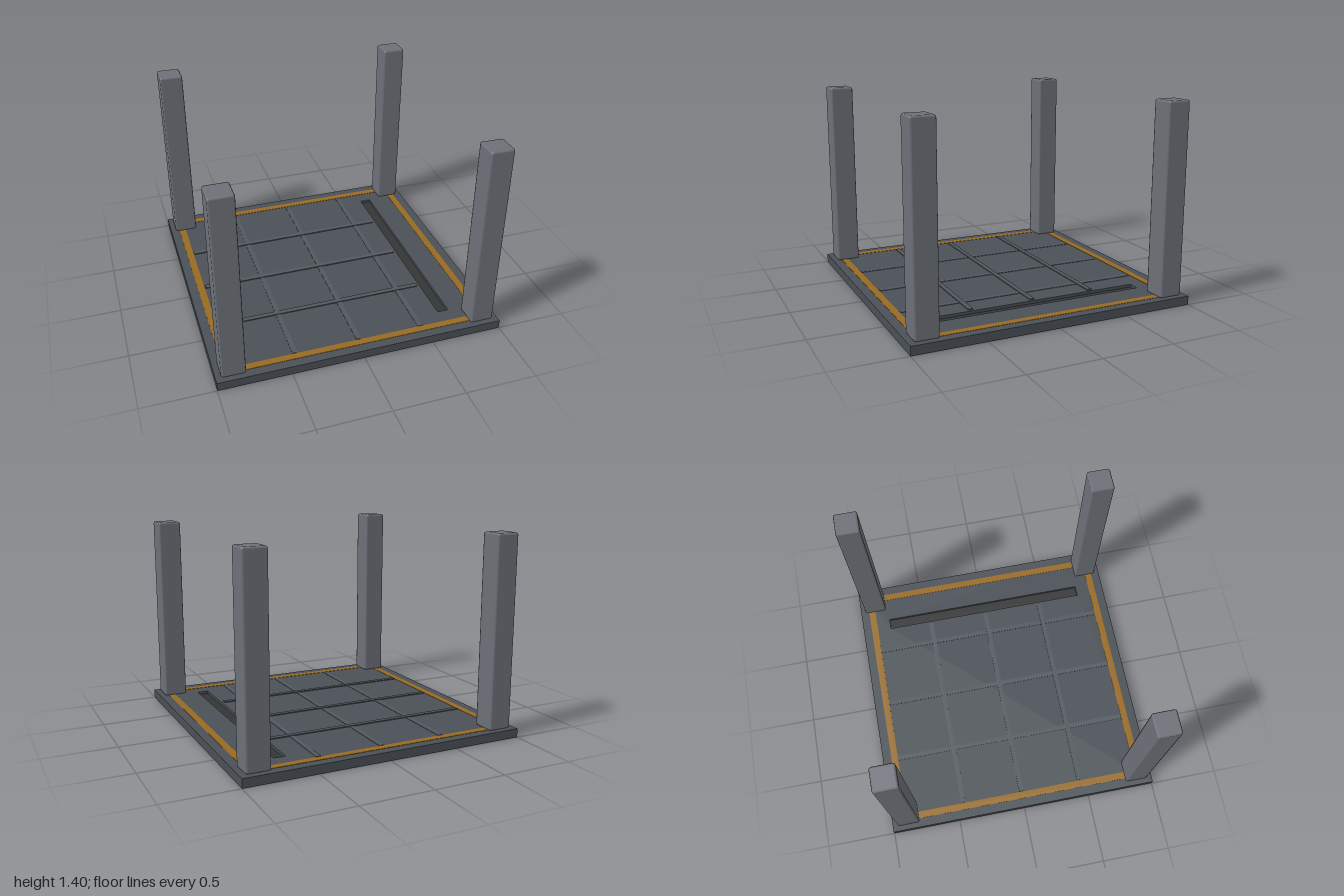
import * as THREE from 'three';
import { RoundedBoxGeometry } from 'three/addons/geometries/RoundedBoxGeometry.js';

const paint = (color) => new THREE.MeshStandardMaterial({ color });

export function createModel() {
  const model = new THREE.Group();
  const slate = paint(0x4a5056);
  const rib = paint(0x51585e);
  const post = paint(0x6c7077);
  const amber = paint(0x976a22);
  const dark = paint(0x333537);
  const TOP = 0.062;

  const add = (name, geometry, material, x, y, z) => {
    const mesh = new THREE.Mesh(geometry, material);
    mesh.name = name;
    mesh.position.set(x, y, z);
    model.add(mesh);
  };
  // Box resting between two heights
  const slab = (name, material, w, d, y0, y1, x, z) =>
    add(name, new THREE.BoxGeometry(w, y1 - y0, d), material, x, (y0 + y1) / 2, z);

  // Floor plate with a long slot cut through it
  const outline = new THREE.Shape();
  outline.moveTo(-1, -1).lineTo(1, -1).lineTo(1, 1).lineTo(-1, 1).closePath();
  const slot = new THREE.Path();
  slot.moveTo(0.63, -0.78).lineTo(0.63, 0.78).lineTo(0.71, 0.78).lineTo(0.71, -0.78).closePath();
  outline.holes.push(slot);
  const floor = new THREE.ExtrudeGeometry(outline, { depth: TOP, bevelEnabled: false });
  floor.rotateX(-Math.PI / 2);
  add('floorPlate', floor, slate, 0, 0, 0);

  // Dark strip recessed inside the slot
  slab('slotFloor', dark, 0.08, 1.56, 0.022, 0.042, 0.67, 0);

  // Shallow ribs forming the floor grid
  for (const p of [-0.45, 0, 0.45]) {
    slab('crossRib', rib, 1.49, 0.034, 0.05, 0.069, -0.135, p);
    slab('lengthRib', rib, 0.034, 1.76, 0.05, 0.065, p, 0);
  }

  // Coloured border strips and corner posts
  for (const s of [-1, 1]) {
    slab('sideTrim', amber, 0.05, 1.77, 0.05, 0.064, s * 0.91, 0);
    slab('endTrim', amber, 1.87, 0.05, 0.05, 0.0645, 0, s * 0.91);
    for (const t of [-1, 1]) {
      add('cornerPost', new RoundedBoxGeometry(0.165, 1.34, 0.165, 1, 0.015), post, s * 0.88, 0.73, t * 0.88);
    }
  }
  return model;
}
